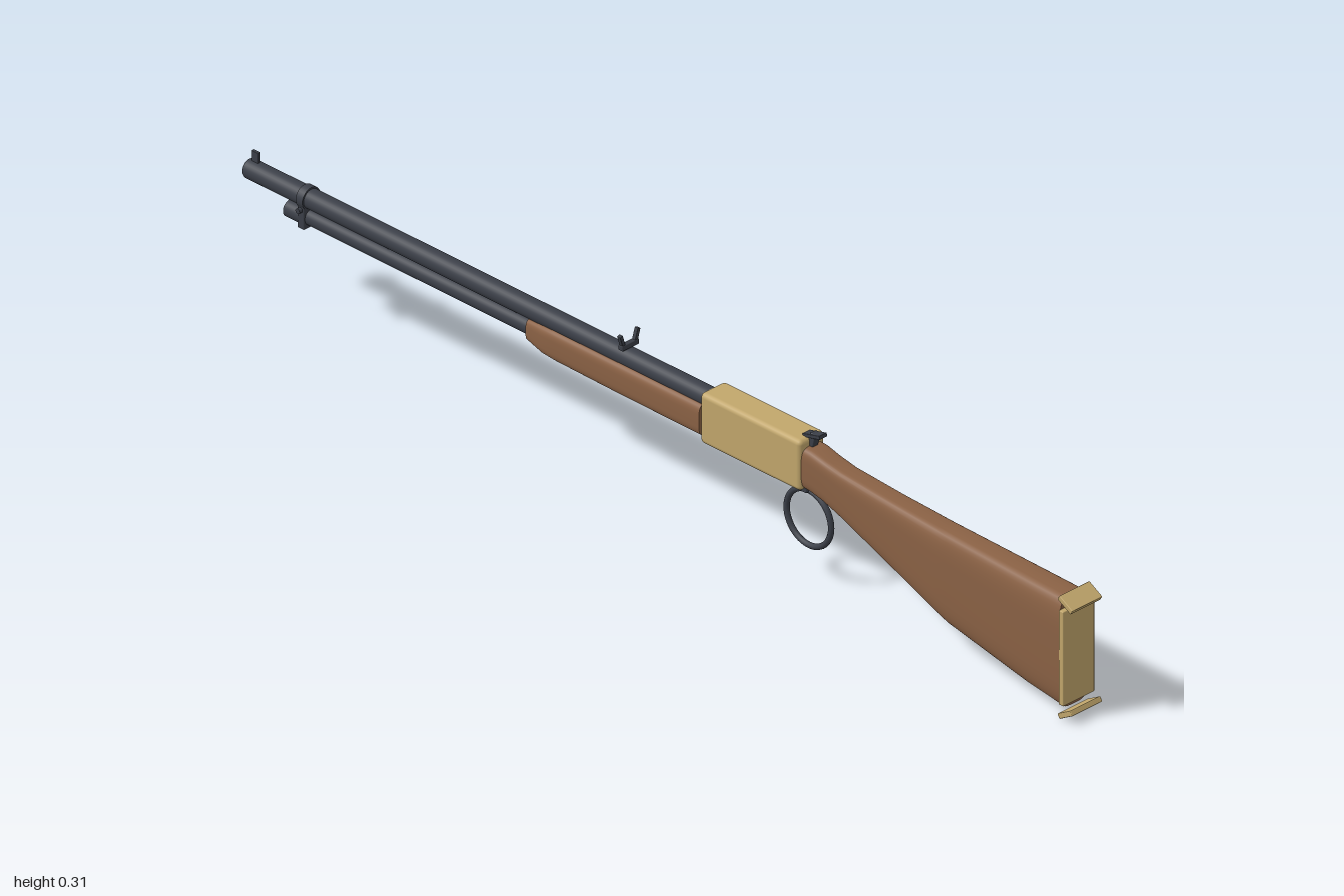
import * as THREE from 'three';
import { RoundedBoxGeometry } from 'three/addons/geometries/RoundedBoxGeometry.js';

const mat = (color) => new THREE.MeshStandardMaterial({ color, roughness: 0.6 });

export function createModel() {
  const model = new THREE.Group();
  const wood = mat(0x8b6245), brass = mat(0xc2a76c), steel = mat(0x3b3f48);

  function add(name, geometry, material, x = 0, y = 0, z = 0) {
    const mesh = new THREE.Mesh(geometry, material);
    mesh.name = name;
    mesh.position.set(x, y, z);
    model.add(mesh);
    return mesh;
  }
  const box = (name, w, h, d, material, x, y, z) =>
    add(name, new RoundedBoxGeometry(w, h, d, 2, Math.min(w, h, d) * 0.15), material, x, y, z);

  // Cylinder lying along z between two depths
  function rod(name, r, z0, z1, y, sides = 32) {
    const g = new THREE.CylinderGeometry(r, r, Math.abs(z1 - z0), sides).rotateX(Math.PI / 2);
    return add(name, g, steel, 0, y, (z0 + z1) / 2);
  }

  // Skin rounded sections [z, bottom, top, halfWidth], ordered from +z to -z
  function loft(sections, power, n = 40) {
    const pos = [], index = [];
    const soft = (v) => Math.sign(v) * Math.abs(v) ** (2 / power);
    const ring = ([z, b, t, w]) => {
      const start = pos.length / 3;
      for (let j = 0; j < n; j++) {
        const a = (j / n) * Math.PI * 2;
        pos.push(w * soft(Math.cos(a)), (t + b) / 2 + ((t - b) / 2) * soft(Math.sin(a)), z);
      }
      return start;
    };
    const rings = sections.map(ring);
    for (let i = 0; i + 1 < rings.length; i++) {
      for (let j = 0; j < n; j++) {
        const k = (j + 1) % n, a = rings[i], c = rings[i + 1];
        index.push(a + j, c + j, a + k, a + k, c + j, c + k);
      }
    }
    // End caps get their own vertices so their edges stay sharp
    for (const [s, front] of [[sections[0], true], [sections.at(-1), false]]) {
      const r = ring(s), m = pos.length / 3;
      pos.push(0, (s[1] + s[2]) / 2, s[0]);
      for (let j = 0; j < n; j++) {
        const k = (j + 1) % n;
        index.push(m, r + (front ? j : k), r + (front ? k : j));
      }
    }
    const g = new THREE.BufferGeometry();
    g.setAttribute('position', new THREE.Float32BufferAttribute(pos, 3));
    g.setIndex(index);
    g.computeVertexNormals();
    return g;
  }

  // Wooden stock and forend
  add('stock', loft([
    [0.968, 0.018, 0.233, 0.036], [0.88, 0.03, 0.235, 0.035], [0.69, 0.066, 0.24, 0.031],
    [0.66, 0.076, 0.241, 0.030], [0.54, 0.123, 0.246, 0.027], [0.43, 0.166, 0.253, 0.025],
    [0.39, 0.18, 0.260, 0.025], [0.36, 0.187, 0.267, 0.026], [0.335, 0.189, 0.268, 0.026],
  ], 4.5), wood);
  add('forend', loft([
    [0.1, 0.191, 0.254, 0.026], [-0.1, 0.192, 0.253, 0.026], [-0.25, 0.194, 0.252, 0.025],
    [-0.28, 0.196, 0.251, 0.024], [-0.32, 0.205, 0.246, 0.019],
  ], 4), wood);

  // Brass receiver and butt fittings
  box('receiver', 0.06, 0.098, 0.24, brass, 0, 0.234, 0.225);
  box('buttPlate', 0.075, 0.183, 0.011, brass, 0, 0.122, 0.974);
  box('buttHeel', 0.072, 0.01, 0.036, brass, 0, 0.228, 0.982).rotation.x = 0.52;
  box('buttToe', 0.072, 0.01, 0.036, brass, 0, 0.015, 0.982).rotation.x = -0.52;
  box('sideGate', 0.008, 0.026, 0.056, steel, 0.03, 0.218, 0.218);

  // Barrel with a recessed muzzle
  const wall = [[0, 0], [0.0185, 0], [0.0185, 0], [0.0185, 1.102], [0.0185, 1.102],
    [0.017, 1.105], [0.017, 1.105], [0.008, 1.105], [0.008, 1.105], [0.008, 1.06], [0.008, 1.06], [0, 1.06]];
  add('barrel', new THREE.LatheGeometry(wall.map(([r, h]) => new THREE.Vector2(r, h)), 32)
    .rotateX(-Math.PI / 2), steel, 0, 0.26, 0.107);

  // Tube under the barrel, its cap and the barrel band
  rod('magazineTube', 0.0155, 0.107, -0.87, 0.225);
  rod('magazineCap', 0.0165, -0.865, -0.9, 0.222);
  box('barrelBand', 0.036, 0.054, 0.016, steel, 0, 0.232, -0.857);
  rod('bandRing', 0.0215, -0.849, -0.865, 0.26);
  const screw = rod('bandScrew', 0.005, -0.025, 0.025, 0.242, 16);
  screw.rotation.y = Math.PI / 2;
  screw.position.z = -0.857;

  // Sights
  box('frontSight', 0.006, 0.024, 0.016, steel, 0, 0.286, -0.982);
  box('rearSightBase', 0.04, 0.01, 0.01, steel, 0, 0.284, -0.093);
  for (const s of [-1, 1]) {
    box('rearSightProng', 0.007, 0.028, 0.008, steel, s * 0.017, 0.295, -0.093).rotation.z = -s * 0.3;
  }

  // Hammer
  box('hammer', 0.014, 0.032, 0.012, steel, 0, 0.277, 0.348).rotation.x = 0.25;
  box('hammerSpur', 0.018, 0.007, 0.042, steel, 0, 0.288, 0.35).rotation.x = -0.25;

  // Lever plate and round loop
  box('leverPlate', 0.022, 0.012, 0.185, steel, 0, 0.18, 0.248);
  add('leverLoop', new THREE.TorusGeometry(0.053, 0.0055, 12, 48).rotateY(Math.PI / 2), steel, 0, 0.122, 0.336);

  return model;
}
